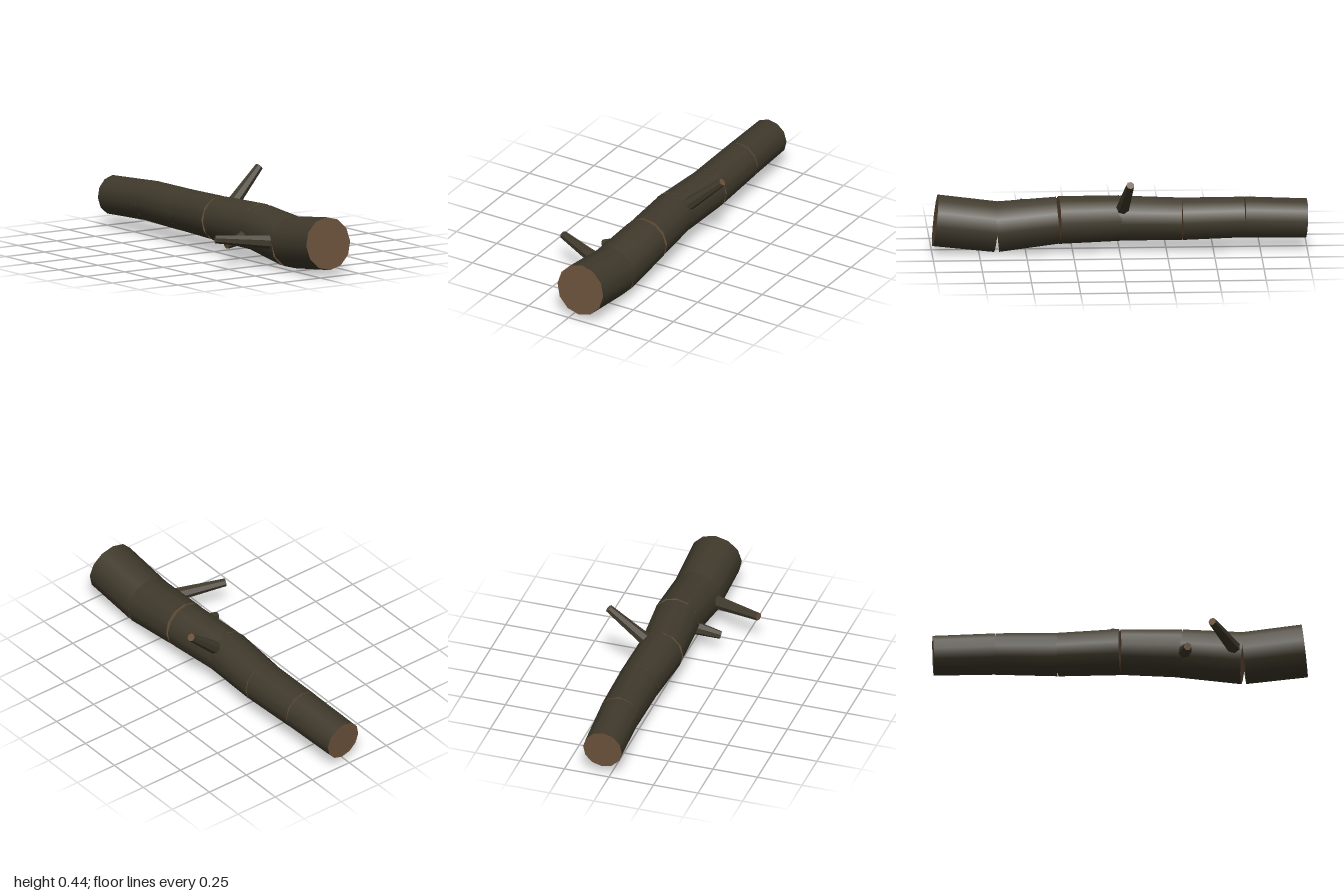
import * as THREE from 'three';

const bark = new THREE.MeshStandardMaterial({ color: 0x403a2c });
bark.name = 'bark';
const barkFlat = bark; // one bark colour for trunk and twigs
const cutWood = new THREE.MeshStandardMaterial({ color: 0x6b523b });
cutWood.name = 'cutWood';

// Tapered cylinder running from point a (radius ra) to point b (radius rb)
function limb(name, a, b, ra, rb, sides, flat) {
  const from = new THREE.Vector3(...a);
  const to = new THREE.Vector3(...b);
  const axis = to.clone().sub(from);
  let geometry = new THREE.CylinderGeometry(rb, ra, axis.length(), sides);
  if (flat) {
    // separate the faces so every side keeps its own normal
    const groups = geometry.groups;
    geometry = geometry.toNonIndexed();
    geometry.computeVertexNormals();
    geometry.clearGroups();
    groups.forEach((g) => geometry.addGroup(g.start, g.count, g.materialIndex));
  }
  const mesh = new THREE.Mesh(geometry, [barkFlat, cutWood, cutWood]);
  mesh.name = name;
  mesh.position.copy(from).add(to).multiplyScalar(0.5);
  mesh.quaternion.setFromUnitVectors(new THREE.Vector3(0, 1, 0), axis.normalize());
  return mesh;
}

export function createModel() {
  const group = new THREE.Group();
  group.name = 'fallenLog';

  // Trunk: straight sections along a bent centre line [x, y, z, radius]
  const line = [
    [0.062, 0.184, 0.982, 0.142],
    [0.062, 0.145, 0.655, 0.139],
    [0.07, 0.18, 0.325, 0.129],
    [0.045, 0.181, 0, 0.123],
    [0.06, 0.177, -0.333, 0.116],
    [0.055, 0.182, -0.664, 0.111],
    [0.038, 0.168, -0.995, 0.107],
  ];
  for (let i = 0; i < line.length - 1; i++) {
    const [a, b] = [line[i], line[i + 1]];
    group.add(limb(`trunkSection${i + 1}`, a.slice(0, 3), b.slice(0, 3), a[3], b[3], 12, false));
  }

  // Broken branch stubs
  group.add(limb('leftBranch', [0.1, 0.225, -0.008], [0.323, 0.428, -0.046], 0.038, 0.022, 7, true));
  group.add(limb('rightBranch', [-0.03, 0.149, 0.62], [-0.335, 0.178, 0.5], 0.039, 0.022, 7, true));
  group.add(limb('rightStub', [-0.03, 0.142, 0.345], [-0.17, 0.11, 0.365], 0.037, 0.021, 7, true));

  return group;
}
